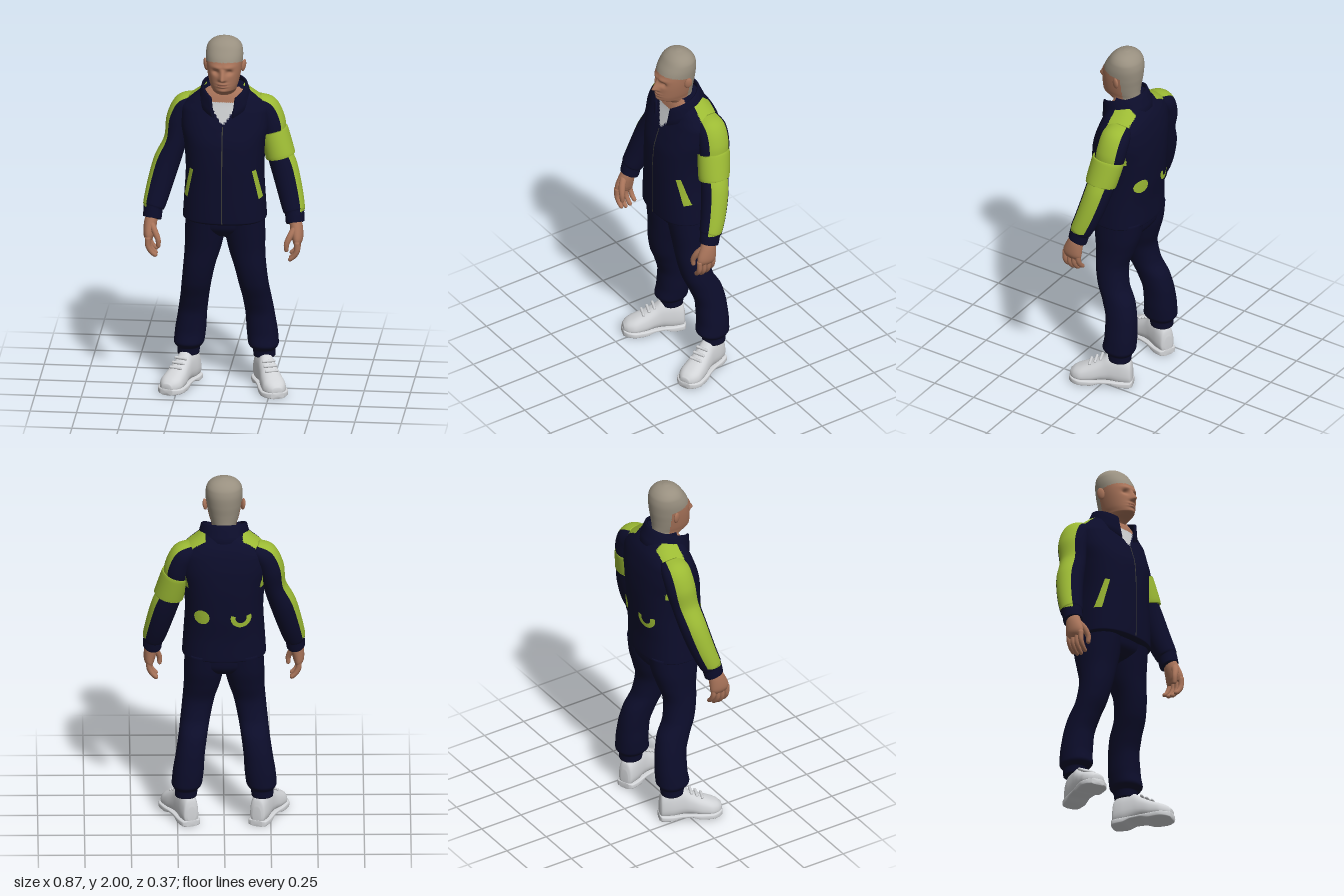
import * as THREE from 'three';

const colours = { navy: 0x0c0d2b, green: 0x9cba34, skin: 0xa9745a, lips: 0x8a5646, hair: 0x999080,
  shoeWhite: 0xd2d4d7, shirt: 0xc6c8ca, zip: 0x3c3c38 };
const M = {};
for (const [name, color] of Object.entries(colours)) {
  M[name] = new THREE.MeshStandardMaterial({ color });
  M[name].name = name;
}

// Monotone smooth resampling of section rows to n + 1 rows
function smooth(rows, n) {
  const slope = (i, k) => {
    if (i <= 0 || i >= rows.length - 1) return 0;
    const a = rows[i][k] - rows[i - 1][k], b = rows[i + 1][k] - rows[i][k];
    return a * b <= 0 ? 0 : 2 * a * b / (a + b);
  };
  return Array.from({ length: n + 1 }, (_, j) => {
    const s = j / n * (rows.length - 1), i = Math.min(Math.floor(s), rows.length - 2), t = s - i;
    return rows[i].map((v, k) => {
      const d = rows[i + 1][k] - v, end = i === 0 || i === rows.length - 2;
      const m0 = end && i === 0 ? d : slope(i, k), m1 = end && i > 0 ? d : slope(i + 1, k);
      return v + m0 * t + (3 * d - 2 * m0 - m1) * t * t + (m0 + m1 - 2 * d) * t * t * t;
    });
  });
}

// Superellipse point
const se = (a, p) => [Math.cos(a), Math.sin(a)].map(c => Math.sign(c) * Math.abs(c) ** (2 / p));

// Closed, capped skin over rings; pick(centre, angle) chooses one of the materials per face
function loft(name, rings, mats, pick = () => 0, mirror = 1) {
  const n = rings[0].length, pos = [], faces = mats.map(() => []);
  const mid = ring => ring.reduce((s, p) => s.add(p), new THREE.Vector3()).divideScalar(n);
  const pts = [...rings.flat(), mid(rings[0]), mid(rings[rings.length - 1])];
  pts.forEach(p => pos.push(p.x * mirror, p.y, p.z));
  const quads = [], V = i => pts[i], last = (rings.length - 1) * n;
  for (let j = 0; j < n; j++) {
    const k = (j + 1) % n, ang = (j + 0.5) / n * Math.PI * 2;
    for (let i = 0; i < last; i += n) quads.push([ang, i + j, i + k, i + n + k], [ang, i + j, i + n + k, i + n + j]);
    quads.push([ang, rings.length * n, k, j], [ang, rings.length * n + 1, last + j, last + k]);
  }
  let volume = 0;
  for (const [, a, b, c] of quads) volume += V(a).dot(V(b).clone().cross(V(c)));
  const flip = volume * mirror < 0;
  for (const [ang, a, b, c] of quads) {
    const centre = V(a).clone().add(V(b)).add(V(c)).divideScalar(3);
    faces[pick(centre, ang)].push(...(flip ? [a, c, b] : [a, b, c]));
  }
  const g = new THREE.BufferGeometry();
  g.setAttribute('position', new THREE.Float32BufferAttribute(pos, 3));
  g.setIndex(faces.flat());
  let start = 0;
  faces.forEach((f, i) => { g.addGroup(start, f.length, i); start += f.length; });
  g.computeVertexNormals();
  const mesh = new THREE.Mesh(g, mats.length > 1 ? mats : mats[0]);
  mesh.name = name;
  return mesh;
}

// Horizontal rings from rows [y, centreX, halfWidth, frontZ, backZ]
const stack = (rows, n, p = 2) => rows.map(([y, cx, rx, zf, zb]) => Array.from({ length: n }, (_, j) => {
  const [c, s] = se(j / n * Math.PI * 2, p);
  return new THREE.Vector3(cx + rx * c, y, (zf + zb) / 2 + (zf - zb) / 2 * s);
}));

// Rings square to a path, rows [x, y, z, thickness, depth]
function sweep(rows, n) {
  const C = rows.map(r => new THREE.Vector3(r[0], r[1], r[2]));
  return rows.map((r, i) => {
    const T = C[Math.min(i + 1, C.length - 1)].clone().sub(C[Math.max(i - 1, 0)]).normalize();
    const B = new THREE.Vector3(0, 0, 1).addScaledVector(T, -T.z).normalize(), N = B.clone().cross(T);
    return Array.from({ length: n }, (_, j) => {
      const a = j / n * Math.PI * 2;
      return C[i].clone().addScaledVector(N, r[3] * Math.cos(a)).addScaledVector(B, r[4] * Math.sin(a));
    });
  });
}

const torsoRows = smooth([
  [0.972, 0, 0.21, 0.16, -0.145], [0.985, 0, 0.225, 0.173, -0.163], [1.1, 0, 0.218, 0.175, -0.166],
  [1.25, 0, 0.21, 0.175, -0.18], [1.4, 0, 0.22, 0.167, -0.187], [1.5, 0, 0.238, 0.14, -0.183],
  [1.58, 0, 0.24, 0.108, -0.17], [1.63, 0, 0.21, 0.088, -0.155], [1.68, 0, 0.15, 0.072, -0.125],
  [1.72, 0, 0.1, 0.05, -0.09]], 150);

// Lays a flat plate on the front (side 1) or back (side -1) of the jacket
function plate(name, geo, mat, x, y, side, tilt = 0) {
  geo.rotateZ(tilt);
  if (side < 0) geo.rotateY(Math.PI);
  geo.translate(x, y, 0);
  const p = geo.attributes.position;
  for (let i = 0; i < p.count; i++) {
    const r = torsoRows.reduce((a, b) => Math.abs(b[0] - p.getY(i)) < Math.abs(a[0] - p.getY(i)) ? b : a);
    const t = Math.max(0, 1 - Math.abs(p.getX(i) / r[2]) ** 2.4) ** (1 / 2.4);
    p.setZ(i, (r[3] + r[4]) / 2 + side * ((r[3] - r[4]) / 2 * t + 0.005));
  }
  geo.computeVertexNormals();
  const mesh = new THREE.Mesh(geo, mat);
  mesh.name = name;
  return mesh;
}

function makeHead() {
  const rows = smooth([
    [1.58, 0, 0.075, 0.05, -0.09], [1.68, 0, 0.07, 0.07, -0.07], [1.7, 0, 0.068, 0.088, -0.068],
    [1.715, 0, 0.067, 0.122, -0.066], [1.73, 0, 0.07, 0.147, -0.066], [1.755, 0, 0.078, 0.15, -0.067],
    [1.8, 0, 0.088, 0.15, -0.072], [1.85, 0, 0.096, 0.146, -0.079], [1.9, 0, 0.1, 0.131, -0.082],
    [1.94, 0, 0.096, 0.108, -0.076], [1.97, 0, 0.08, 0.086, -0.058], [1.99, 0, 0.05, 0.058, -0.03],
    [2, 0, 0.012, 0.025, 0]], 120);
  const rings = stack(rows, 112, 2.1), bump = (d, w) => Math.exp(-((d / w) ** 2));
  for (const p of rings.flat()) {
    if (p.z < 0.05) continue;
    const ax = Math.abs(p.x), t = (1.855 - p.y) / 0.058;
    const nose = t < 0 ? 0 : t < 1 ? t : Math.max(0, 1 - (t - 1) * 4);
    p.z += 0.036 * nose * bump(p.x, 0.01 + 0.006 * t)
      - 0.016 * bump(ax - 0.036, 0.018) * bump(p.y - 1.834, 0.013)
      + 0.006 * bump(ax - 0.03, 0.03) * bump(p.y - 1.862, 0.01)
      + 0.009 * bump(p.x, 0.026) * (bump(p.y - 1.771, 0.006) + bump(p.y - 1.756, 0.006))
      + 0.006 * bump(p.x, 0.025) * bump(p.y - 1.732, 0.012);
  }
  const pick = c => c.z < -0.005 || c.y > 1.868 + 0.2 * (c.z - 0.03) ? 1
    : c.z > 0.1 && Math.abs(c.x) < 0.026 && Math.abs(c.y - 1.7635) < 0.003 ? 2 : 0;
  return loft('head', rings, [M.skin, M.hair, M.lips], pick);
}

// Stand-up collar, open at the front and higher at the back
function makeCollar() {
  const rings = [];
  for (let i = 0; i <= 60; i++) {
    const s = i / 30 - 1, a = s * 2.53, f = s * s, ring = [];
    for (const [h, o] of [[0, 0], [0.33, 0], [0.67, 0], [0.95, 0], [1, 0.006], [0.95, 0.014], [0.5, 0.014], [0, 0.014]]) {
      const th = a * (1.1 - 0.1 * h), mix = (lo, hi) => lo + (hi - lo) * h;
      ring.push(new THREE.Vector3((mix(0.148, 0.122) - o) * Math.sin(th),
        mix(1.67 - 0.1 * f, 1.76 - 0.075 * f), mix(0, 0.02) - (mix(0.135, 0.116) - o) * Math.cos(th)));
    }
    rings.push(ring);
  }
  return loft('collar', rings, [M.navy]);
}

function makeArm(side) {
  const arm = new THREE.Group();
  arm.name = side > 0 ? 'leftArm' : 'rightArm';
  const sleeve = smooth([[0.16, 1.615, -0.055, 0.045, 0.07], [0.22, 1.57, -0.057, 0.07, 0.085],
    [0.25, 1.5, -0.052, 0.071, 0.086], [0.27, 1.39, -0.035, 0.062, 0.078], [0.318, 1.26, -0.012, 0.072, 0.075],
    [0.357, 1.12, 0.025, 0.067, 0.068], [0.378, 1.035, 0.055, 0.059, 0.06], [0.381, 1.022, 0.06, 0.052, 0.055],
    [0.385, 0.975, 0.07, 0.05, 0.053], [0.386, 0.97, 0.072, 0.042, 0.045]], 90);
  arm.add(loft('sleeve', sweep(sleeve, 56), [M.navy, M.green],
    (c, a) => c.y > 1.04 && Math.cos(a) > 0 && Math.abs(Math.sin(a)) < 0.73 ? 1 : 0, side));
  const palm = smooth([[0.384, 1, 0.07, 0.028, 0.036], [0.393, 0.95, 0.082, 0.035, 0.046],
    [0.4, 0.89, 0.096, 0.03, 0.056], [0.397, 0.86, 0.1, 0.018, 0.05]], 16);
  arm.add(loft('palm', sweep(palm, 24), [M.skin], undefined, side));
  for (let i = 0; i < 4; i++) {
    const z = 0.058 + 0.028 * i, drop = [0.02, 0.004, 0, 0.008][i];
    const finger = smooth([[0.402, 0.885, z, 0.015, 0.014], [0.402, 0.835 + drop, z, 0.015, 0.014],
      [0.385, 0.795 + drop, z - 0.002, 0.013, 0.013], [0.362, 0.775 + drop, z - 0.004, 0.011, 0.011],
      [0.354, 0.773 + drop, z - 0.005, 0.004, 0.004]], 14);
    arm.add(loft('finger', sweep(finger, 12), [M.skin], undefined, side));
  }
  const thumb = smooth([[0.388, 0.955, 0.105, 0.018, 0.02], [0.362, 0.91, 0.135, 0.017, 0.018],
    [0.345, 0.865, 0.146, 0.014, 0.014], [0.345, 0.835, 0.144, 0.011, 0.011], [0.346, 0.828, 0.143, 0.004, 0.004]], 14);
  arm.add(loft('thumb', sweep(thumb, 12), [M.skin], undefined, side));
  return arm;
}

function makeLeg(side) {
  const rows = smooth([[1, 0.1, 0.11, 0.14, -0.15], [0.9, 0.107, 0.108, 0.125, -0.135], [0.8, 0.118, 0.098, 0.11, -0.105],
    [0.7, 0.137, 0.086, 0.1, -0.077], [0.6, 0.153, 0.08, 0.08, -0.09], [0.5, 0.168, 0.077, 0.04, -0.14],
    [0.4, 0.182, 0.078, 0.01, -0.16], [0.3, 0.193, 0.083, 0.008, -0.166], [0.235, 0.2, 0.082, 0.017, -0.165],
    [0.21, 0.203, 0.07, 0, -0.152], [0.2, 0.203, 0.062, -0.012, -0.145], [0.16, 0.205, 0.058, -0.02, -0.14]], 80);
  return loft(side > 0 ? 'leftTrouserLeg' : 'rightTrouserLeg', stack(rows, 48, 2.2), [M.navy], undefined, side);
}

function makeShoe(side) {
  const shoe = new THREE.Group();
  shoe.name = side > 0 ? 'leftShoe' : 'rightShoe';
  // Cross-sections from heel to toe: [z, halfWidth, top, bottom]
  const body = [[-0.165, 0.026, 0.11, 0.03], [-0.155, 0.046, 0.155, 0.012], [-0.1, 0.056, 0.188, 0.01],
    [-0.045, 0.056, 0.185, 0.02], [0, 0.06, 0.155, 0.022], [0.06, 0.07, 0.122, 0.012], [0.11, 0.073, 0.1, 0.01],
    [0.15, 0.056, 0.08, 0.015], [0.172, 0.03, 0.06, 0.025]];
  const sole = body.map(([z, w], i) => [z * 1.02, w + 0.004, 0.034, i === 3 || i === 4 ? 0.018 : 0]);
  const rings = (rows, taper) => smooth(rows, 40).map(([z, w, top, low]) => Array.from({ length: 32 }, (_, j) => {
    const [c, s] = se(j / 32 * Math.PI * 2, taper ? 2.5 : 5);
    return new THREE.Vector3(w * c * (1 - taper * (s + 1)), (top + low) / 2 + (top - low) / 2 * s, z);
  }));
  shoe.add(loft('upper', rings(body, 0.12), [M.shoeWhite]), loft('sole', rings(sole, 0), [M.shoeWhite]));
  for (let i = 0; i < 3; i++) {
    const strap = new THREE.Mesh(new THREE.CapsuleGeometry(0.008, 0.06, 4, 10), M.shoeWhite);
    strap.name = 'strap';
    strap.rotation.z = Math.PI / 2;
    strap.position.set(0, 0.157 - 0.018 * i, 0.005 + 0.03 * i);
    shoe.add(strap);
  }
  shoe.position.set(0.235 * side, 0, 0.012);
  shoe.rotation.y = 0.38 * side;
  return shoe;
}

export function createModel() {
  const model = new THREE.Group();
  model.name = 'standingMan';
  // Jacket with shoulder stripes and an open neck
  model.add(loft('jacket', stack(torsoRows, 128, 2.4), [M.navy, M.green, M.shirt, M.skin], c => {
    const ax = Math.abs(c.x);
    if (c.z > 0.03 && c.y > 1.525 && ax < (c.y - 1.525) * 0.7) return c.y > 1.645 ? 3 : 2;
    return c.y > 1.4 && ax > 0.1 && c.z > -0.115 && c.z < 0 ? 1 : 0;
  }));
  model.add(makeCollar(), makeHead());
  model.add(plate('zip', new THREE.PlaneGeometry(0.006, 0.54, 1, 40), M.zip, 0, 1.255, 1));
  model.add(plate('backPatch', new THREE.RingGeometry(0, 0.042, 12, 4), M.green, 0.12, 1.25, -1));
  model.add(plate('backTrim', new THREE.RingGeometry(0.03, 0.056, 28, 2, Math.PI * 0.9, Math.PI * 1.2), M.green, -0.09, 1.25, -1));
  // Hips between the trouser legs
  const hips = smooth([[1, 0, 0.205, 0.14, -0.15], [0.94, 0, 0.2, 0.13, -0.143], [0.89, 0, 0.14, 0.09, -0.11], [0.865, 0, 0.06, 0.04, -0.06]], 20);
  model.add(loft('hips', stack(hips, 48, 2.3), [M.navy]));
  const band = smooth([[0.259, 1.458, -0.042, 0.064, 0.08], [0.26, 1.455, -0.042, 0.076, 0.091],
    [0.297, 1.322, -0.02, 0.081, 0.085], [0.298, 1.318, -0.02, 0.065, 0.074]], 24);
  model.add(loft('armband', sweep(band, 48), [M.green]));
  for (const side of [1, -1]) {
    model.add(makeArm(side), makeLeg(side), makeShoe(side));
    model.add(plate('pocketTrim', new THREE.PlaneGeometry(0.02, 0.17, 4, 16), M.green, 0.185 * side, 1.195, 1, 0.2 * side));
    const ear = new THREE.Mesh(new THREE.SphereGeometry(1, 20, 14), M.skin);
    ear.name = 'ear';
    ear.scale.set(0.011, 0.034, 0.021);
    ear.position.set(0.102 * side, 1.838, 0.016);
    ear.rotation.set(-0.15, -0.35 * side, -0.15 * side);
    model.add(ear);
  }
  return model;
}
